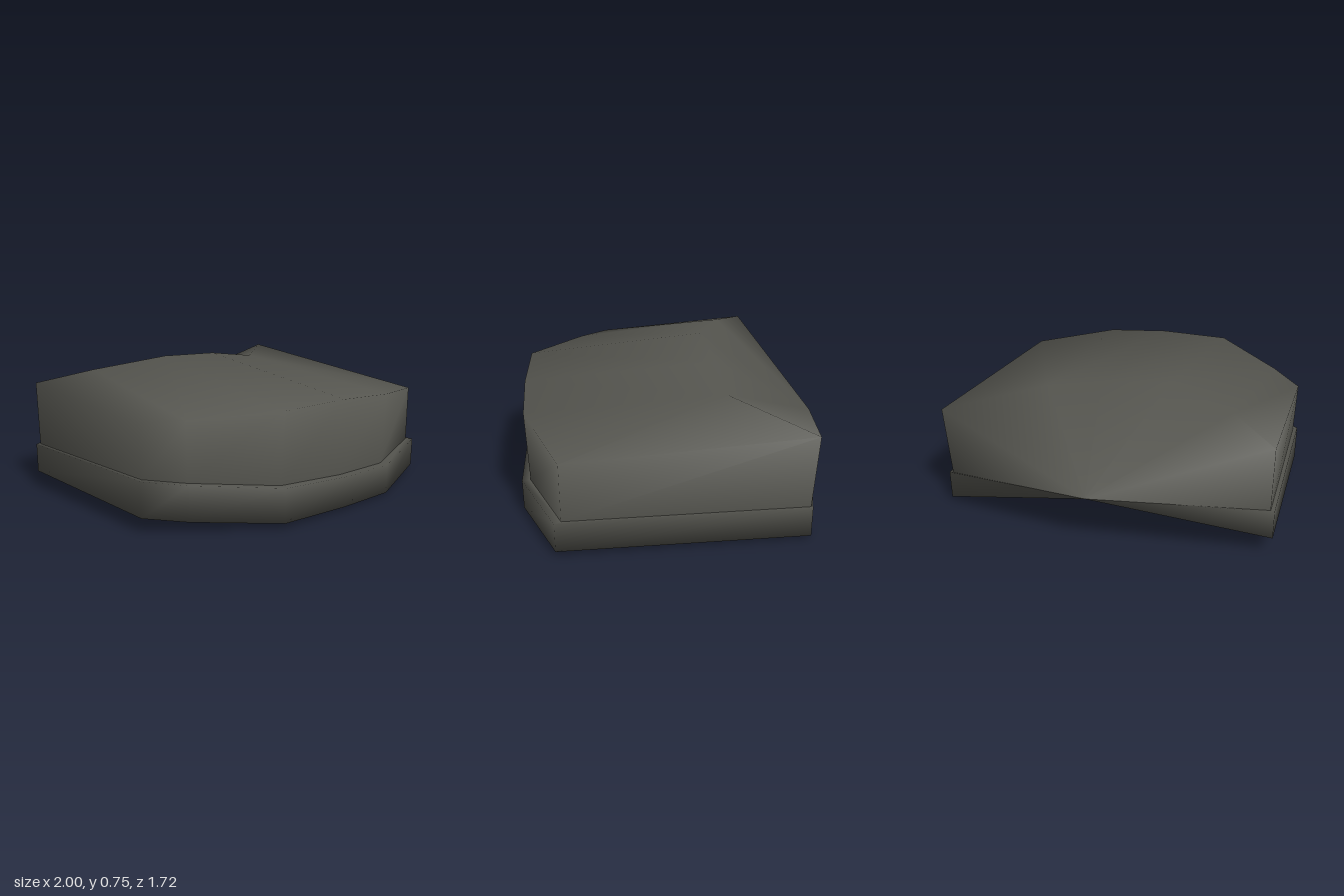
import * as THREE from 'three';
import { mergeVertices } from 'three/addons/utils/BufferGeometryUtils.js';

// Cross-sections run clockwise seen from above: back right, right, front, left, back left, back notch.
const BASE = [[0.87, 0.02, -0.72], [0.998, 0.03, 0.615], [0.53, 0.015, 0.835], [0.18, 0.02, 0.855], [-0.26, 0.035, 0.858],
  [-0.68, 0.06, 0.59], [-0.88, 0.085, 0.45], [-1, 0.1, -0.5], [-0.08, 0.32, -0.86]];
const BAND_TOP = [0.185, 0.195, 0.185, 0.195, 0.23, 0.26, 0.285, 0.265, 0.32];
const RIM = [[0.865, 0.598, -0.735], [0.975, 0.52, 0.58], [0.53, 0.595, 0.8], [0.16, 0.63, 0.835], [-0.26, 0.64, 0.845],
  [-0.68, 0.6, 0.57], [-0.87, 0.575, 0.42], [-0.98, 0.63, -0.5], [-0.08, 0.32, -0.86]];
// Ridges across the top and the underside, from the back right corner to the back left corner
const TOP_RIDGE = [RIM[0], [0.43, 0.645, -0.3], [0.1, 0.71, -0.26], [-0.29, 0.75, -0.2], [-0.7, 0.7, -0.33], RIM[7]];
const UNDER_RIDGE = [BASE[0], [0.43, 0, -0.3], [0.1, 0.015, -0.26], [-0.29, 0.035, -0.2], [-0.7, 0.065, -0.33], BASE[7]];
// Ridge points paired with the edge points they join
const PAIRING = [0, 1, 1, 2, 3, 4, 4, 5];

// Triangles between two matching closed cross-sections
function ring(lower, upper) {
  return lower.flatMap((p, i) => {
    const j = (i + 1) % lower.length;
    return [[lower[j], p, upper[i]], [lower[j], upper[i], upper[j]]];
  });
}

// Cap over an edge loop: a deck from the front edge to the ridge, and a slope from the ridge to the notch
function cap(edge, ridge) {
  const tris = [];
  for (let i = 0; i < PAIRING.length - 1; i++) {
    const a = ridge[PAIRING[i]], b = ridge[PAIRING[i + 1]];
    tris.push([edge[i + 1], edge[i], a], [edge[i + 1], a, b]);
  }
  for (let k = 0; k < ridge.length - 1; k++) tris.push([edge[8], ridge[k + 1], ridge[k]]);
  return tris;
}

function makeMesh(name, tris, material) {
  const same = (a, b) => a.every((v, k) => v === b[k]);
  const kept = tris.filter(([a, b, c]) => !same(a, b) && !same(b, c) && !same(a, c));
  let geo = new THREE.BufferGeometry();
  geo.setAttribute('position', new THREE.Float32BufferAttribute(kept.flat(2), 3));
  geo = mergeVertices(geo);
  geo.computeVertexNormals();
  const mesh = new THREE.Mesh(geo, material);
  mesh.name = name;
  return mesh;
}

export function createModel() {
  const group = new THREE.Group();
  group.name = 'stoneSlab';
  const stone = new THREE.MeshStandardMaterial({ color: 0x55554f });
  stone.name = 'dark grey';

  const bandTop = BASE.map(([x, , z], i) => [x, BAND_TOP[i], z]);
  // Foot of the upper wall, set in a little from the band
  const foot = bandTop.map(([x, y, z], i) => (i === 8 ? RIM[8] : [x * 0.977, y, z * (z > 0 ? 0.945 : 0.99)]));
  bandTop[8] = RIM[8];

  // Lower band with its ledge, closed by the underside (the cap turned over)
  const underside = cap(BASE, UNDER_RIDGE).map(([a, b, c]) => [a, c, b]);
  group.add(makeMesh('lowerBand', [...ring(BASE, bandTop), ...ring(bandTop, foot), ...underside], stone));

  // Upper wall rolling smoothly over into the top and back slope
  group.add(makeMesh('upperSlab', [...ring(foot, RIM), ...cap(RIM, TOP_RIDGE)], stone));

  return group;
}
